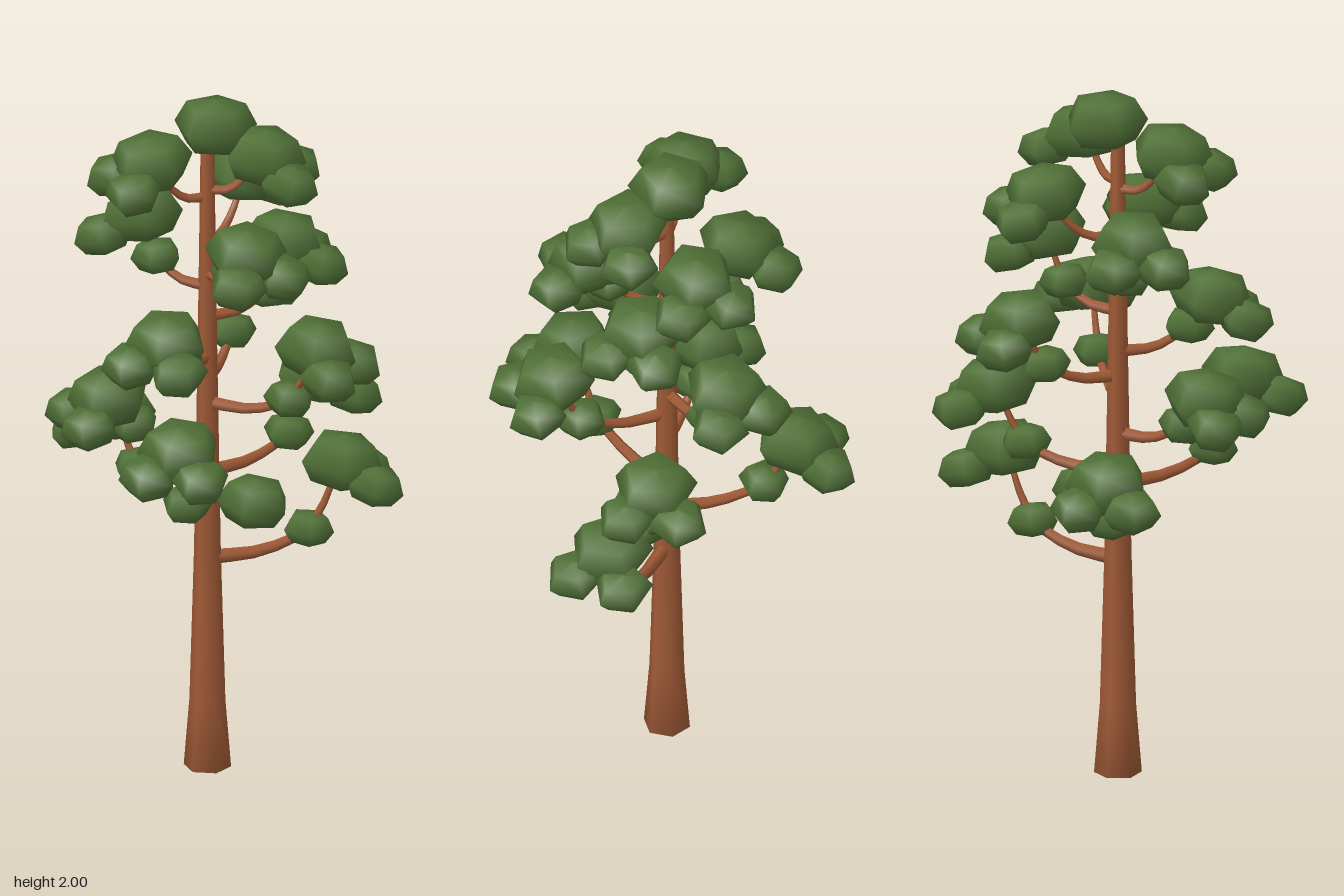
import * as THREE from 'three';

const AXIS = new THREE.Vector3(-0.045, 0, -0.052);
const UP = new THREE.Vector3(0, 1, 0);

// Each limb: height where it leaves the trunk, then the centre of its main clump
const LIMBS = [
  [0.63, 0.34, 0.885, -0.1],
  [0.77, -0.27, 0.97, -0.34],
  [0.85, -0.17, 1.11, 0.33],
  [0.89, 0.28, 1.11, -0.21],
  [1.0, -0.33, 1.15, 0.0],
  [1.1, 0.24, 1.33, 0.15],
  [1.17, 0.08, 1.37, -0.32],
  [1.24, -0.19, 1.38, 0.18],
  [1.36, 0.18, 1.56, -0.1],
  [1.45, -0.22, 1.63, -0.18],
  [1.49, 0.04, 1.62, 0.15],
  [1.58, 0.08, 1.72, -0.22],
  [1.72, -0.21, 1.85, -0.01],
  [1.74, 0.11, 1.85, -0.02],
];

function seededRandom(seed) {
  return () => (seed = (seed * 16807) % 2147483647) / 2147483647;
}

// Tube that thins towards its tip
function taperedTube(points, r0, r1) {
  const curve = new THREE.CatmullRomCurve3(points);
  const steps = 8, sides = 5;
  const geo = new THREE.TubeGeometry(curve, steps, 1, sides);
  const pos = geo.attributes.position;
  const v = new THREE.Vector3();
  for (let i = 0; i <= steps; i++) {
    const c = curve.getPointAt(i / steps);
    const r = THREE.MathUtils.lerp(r0, r1, i / steps);
    for (let j = 0; j <= sides; j++) {
      const k = i * (sides + 1) + j;
      v.fromBufferAttribute(pos, k).sub(c).multiplyScalar(r).add(c);
      pos.setXYZ(k, v.x, v.y, v.z);
    }
  }
  return geo;
}

const lathe = (profile, sides) =>
  new THREE.LatheGeometry(profile.map(([r, y]) => new THREE.Vector2(r, y)), sides);

export function createModel() {
  const tree = new THREE.Group();
  tree.name = 'pineTree';
  const bark = new THREE.MeshStandardMaterial({ color: 0xa05a36 });
  bark.name = 'reddishBark';
  const needles = new THREE.MeshStandardMaterial({ color: 0x507037 });
  needles.name = 'pineGreen';
  const rand = seededRandom(41);

  const add = (geo, mat, name) => {
    const mesh = new THREE.Mesh(geo, mat);
    mesh.name = name;
    tree.add(mesh);
    return mesh;
  };

  // Trunk, flared at the foot
  const trunk = add(lathe([
    [0, 0], [0.067, 0], [0.051, 0.2], [0.038, 0.65], [0.028, 1.25], [0.019, 1.9], [0, 1.91],
  ], 6), bark, 'trunk');
  trunk.position.copy(AXIS);
  trunk.rotation.y = Math.PI / 12;

  // Five-sided flattened needle clump, leaning away from the trunk
  const clumpGeo = lathe([
    [0, -0.56], [0.7, -0.52], [1, -0.04], [0.72, 0.48], [0, 0.62],
  ], 5);
  const addClump = (centre, size, lean, name) => {
    const clump = add(clumpGeo, needles, name);
    clump.position.copy(centre);
    clump.scale.setScalar(size);
    const hinge = new THREE.Vector3(centre.z - AXIS.z, 0, AXIS.x - centre.x).normalize();
    clump.quaternion.setFromAxisAngle(hinge, lean);
    clump.rotateY(rand() * Math.PI * 2);
  };

  // Limbs sweep outward, then bend up into their clumps
  for (const [y, ...main] of LIMBS) {
    const start = AXIS.clone().setY(y);
    const end = new THREE.Vector3(...main);
    const bend = start.clone().lerp(end, 0.75).setY(y + 0.06);
    const mid = start.clone().lerp(end, 0.4).setY(y + 0.005);
    add(taperedTube([start, mid, bend, end], 0.027 - 0.007 * y, 0.007), bark, 'branch');

    // Small clump at the bend of the longer limbs
    if (y < 1.5) addClump(bend, 0.075, 0.1, 'innerNeedleClump');
    addClump(end, 0.122, 0.15, 'mainNeedleClump');

    // Outer clumps fork to both sides of the limb and hang lower
    const heading = new THREE.Vector3(end.x - AXIS.x, 0, end.z - AXIS.z).normalize();
    for (const side of [-1, 1]) {
      const tip = heading.clone().applyAxisAngle(UP, side * 0.75).multiplyScalar(0.108).add(end);
      tip.y -= 0.055;
      addClump(tip, 0.086, 0.25, 'outerNeedleClump');
      add(taperedTube([end, end.clone().lerp(tip, 0.5), tip], 0.007, 0.004), bark, 'twig');
    }
  }

  // Crown and a lone clump close to the trunk
  addClump(new THREE.Vector3(-0.02, 1.923, -0.08), 0.122, 0.05, 'crownClump');
  addClump(new THREE.Vector3(0.085, 0.8, -0.03), 0.108, 0.1, 'lowNeedleClump');
  return tree;
}
